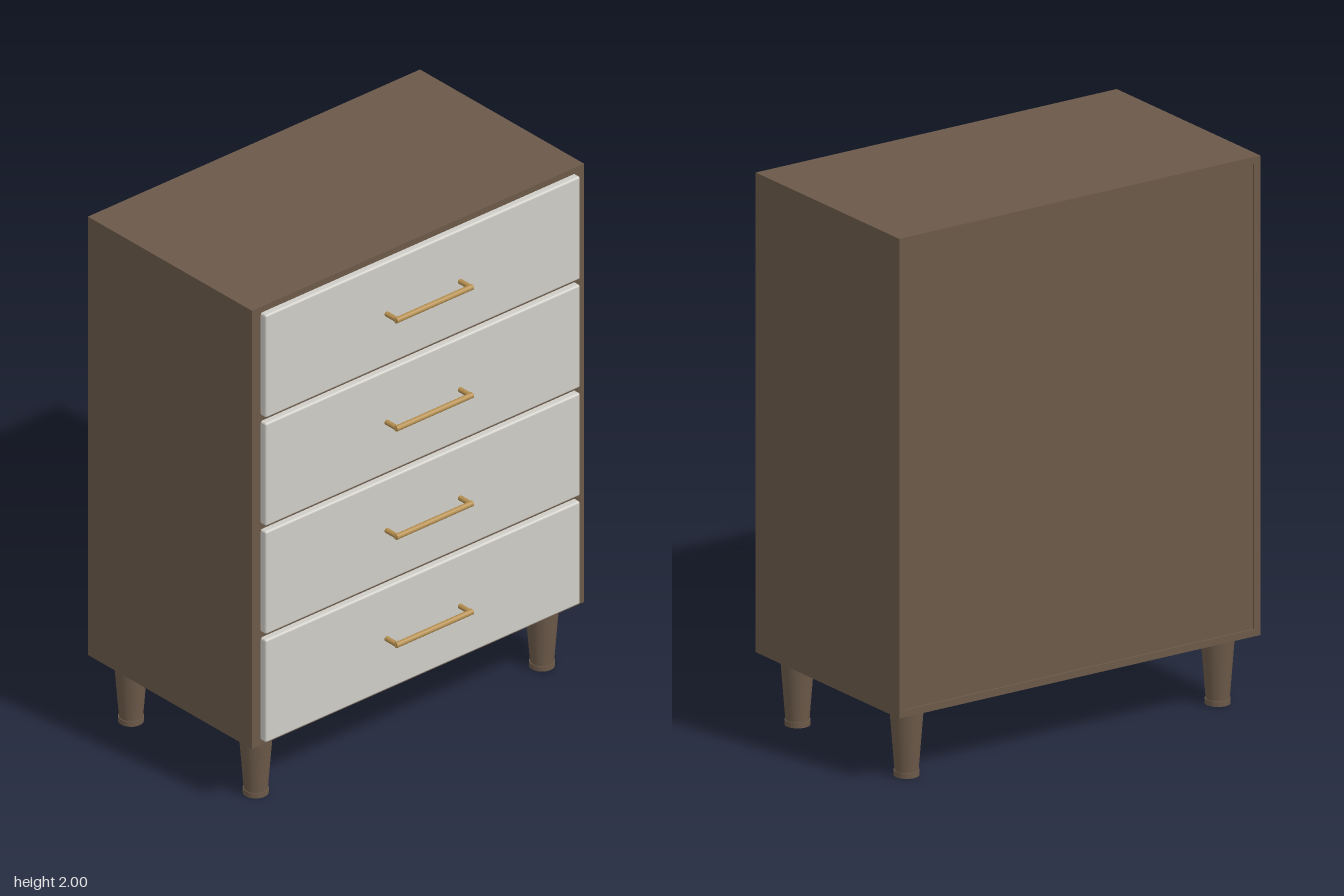
import * as THREE from 'three';
import { RoundedBoxGeometry } from 'three/addons/geometries/RoundedBoxGeometry.js';

const material = (name, color) => {
  const m = new THREE.MeshStandardMaterial({ color });
  m.name = name;
  return m;
};

export function createModel() {
  const wood = material('brown wood', 0x6b5949);
  const paint = material('pale grey paint', 0xcfcdc6);
  const brass = material('brass', 0xb58f50);

  const model = new THREE.Group();
  model.name = 'chestOfDrawers';

  const add = (parent, name, geometry, mat, x, y, z) => {
    const mesh = new THREE.Mesh(geometry, mat);
    mesh.name = name;
    mesh.position.set(x, y, z);
    parent.add(mesh);
    return mesh;
  };

  // Cabinet: four boards around a core whose back face is slightly recessed
  const W = 1.52, bottom = 0.255, top = 2, back = -0.475, front = 0.38, t = 0.026;
  const H = top - bottom, D = front - back, midY = (top + bottom) / 2, midZ = (front + back) / 2;
  const cabinet = new THREE.Group();
  cabinet.name = 'cabinet';
  model.add(cabinet);
  for (const s of [-1, 1]) {
    add(cabinet, s > 0 ? 'leftSide' : 'rightSide',
      new THREE.BoxGeometry(t, H, D), wood, s * (W - t) / 2, midY, midZ);
    add(cabinet, s > 0 ? 'topBoard' : 'bottomBoard',
      new THREE.BoxGeometry(W - 2 * t, t, D), wood, 0, midY + s * (H - t) / 2, midZ);
  }
  const recess = 0.008;
  add(cabinet, 'backPanelAndDividers',
    new THREE.BoxGeometry(W - 2 * t, H - 2 * t, D - recess), wood, 0, midY, midZ + recess / 2);

  // Drawers, each with a soft-edged front and a bar handle
  const frontGeo = new RoundedBoxGeometry(1.44, 0.409, 0.04, 3, 0.008);
  const barGeo = new THREE.CylinderGeometry(0.0105, 0.0105, 0.35, 16).rotateZ(Math.PI / 2);
  const postGeo = new THREE.CylinderGeometry(0.0095, 0.0095, 0.062, 16).rotateX(Math.PI / 2);
  for (let i = 0; i < 4; i++) {
    const drawer = new THREE.Group();
    drawer.name = 'drawer' + (i + 1);
    drawer.position.y = 0.479 + i * 0.431;
    model.add(drawer);
    add(drawer, 'drawerFront', frontGeo, paint, 0, 0, 0.387);
    add(drawer, 'handleBar', barGeo, brass, 0, 0, 0.463);
    for (const s of [-1, 1]) add(drawer, 'handlePost', postGeo, brass, s * 0.168, 0, 0.433);
  }

  // Tapered legs with a small foot and a stud joining each to the cabinet
  const legGeo = new THREE.CylinderGeometry(0.06, 0.042, 0.227, 24);
  const footGeo = new THREE.CylinderGeometry(0.045, 0.045, 0.02, 24);
  const studGeo = new THREE.CylinderGeometry(0.02, 0.02, 0.02, 12);
  for (const x of [-0.655, 0.655]) {
    for (const z of [0.28, -0.37]) {
      const leg = new THREE.Group();
      leg.name = (z > 0 ? 'front' : 'back') + (x > 0 ? 'Left' : 'Right') + 'Leg';
      leg.position.set(x, 0, z);
      model.add(leg);
      add(leg, 'taperedLeg', legGeo, wood, 0, 0.1335, 0);
      add(leg, 'foot', footGeo, wood, 0, 0.01, 0);
      add(leg, 'stud', studGeo, wood, 0, 0.25, 0);
    }
  }
  return model;
}
